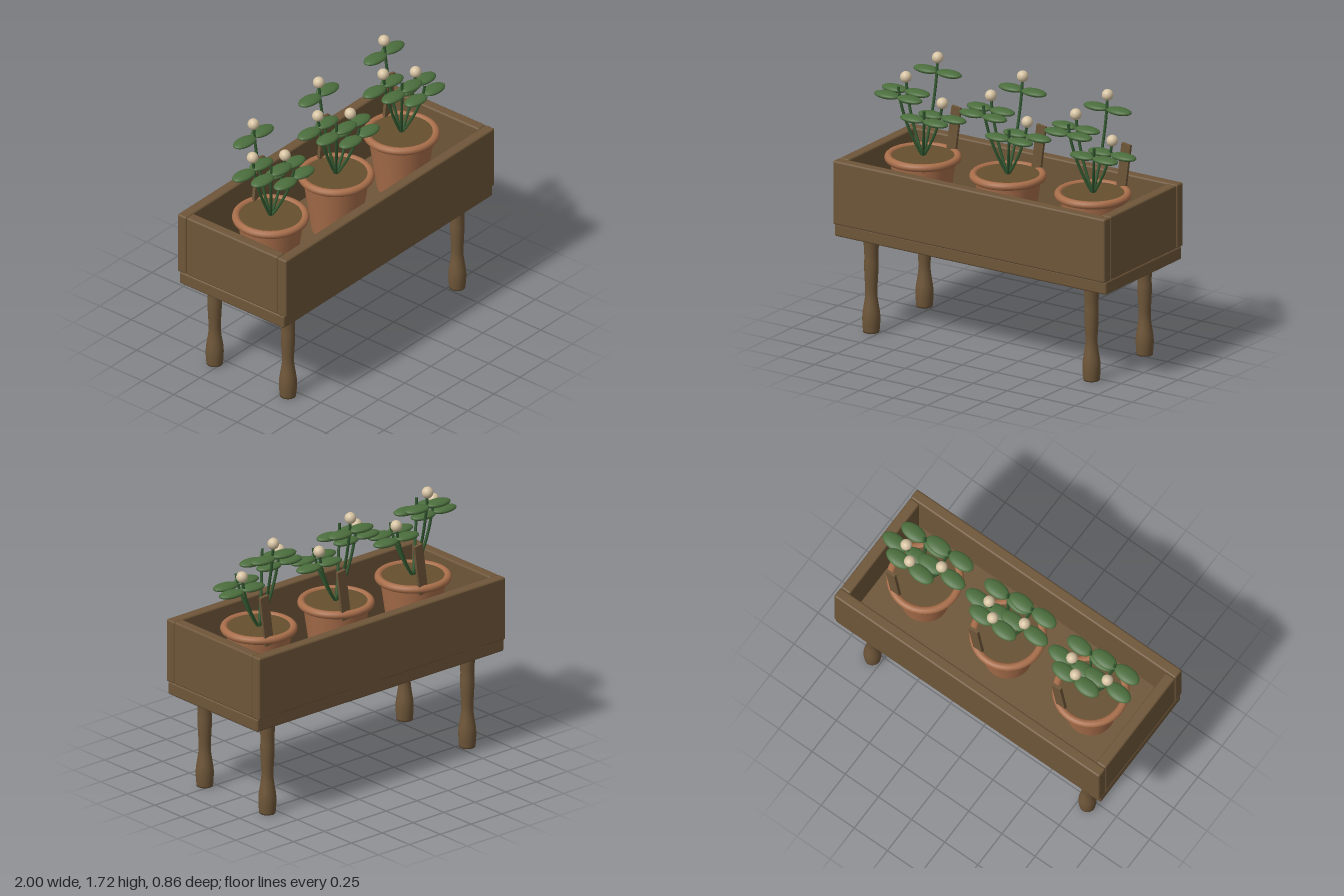
import * as THREE from 'three';
import { RoundedBoxGeometry } from 'three/addons/geometries/RoundedBoxGeometry.js';

const mat = (name, color) => {
  const m = new THREE.MeshStandardMaterial({ color });
  m.name = name;
  return m;
};

export function createModel() {
  const wood = mat('wood', 0x6e5639);
  const terracotta = mat('terracotta', 0xa86e4a);
  const soilMat = mat('soil', 0x66502f);
  const stemMat = mat('stem green', 0x31572f);
  const leafMat = mat('leaf green', 0x4b6e3d);
  const bloomMat = mat('cream blossom', 0xd6c3a2);

  const root = new THREE.Group();
  root.name = 'planterTable';
  const add = (parent, name, geo, material, x = 0, y = 0, z = 0) => {
    const mesh = new THREE.Mesh(geo, material);
    mesh.name = name;
    mesh.position.set(x, y, z);
    parent.add(mesh);
    return mesh;
  };

  // Trough: floor board, two long sides, two ends
  const board = (name, w, h, d, x, y, z) =>
    add(root, name, new RoundedBoxGeometry(w, h, d, 2, 0.012), wood, x, y, z);
  board('floorBoard', 2, 0.085, 0.83, 0, 0.657, 0);
  for (const s of [-1, 1]) {
    board(s > 0 ? 'frontBoard' : 'backBoard', 2, 0.41, 0.07, 0, 0.9, s * 0.396);
    board(s > 0 ? 'leftEndBoard' : 'rightEndBoard', 0.07, 0.41, 0.724, s * 0.963, 0.9, 0);
  }

  // Turned legs
  const legCurve = new THREE.SplineCurve([
    [0.05, 0], [0.055, 0.06], [0.054, 0.12], [0.042, 0.2], [0.037, 0.26],
    [0.042, 0.36], [0.044, 0.43], [0.043, 0.5], [0.051, 0.62],
  ].map(p => new THREE.Vector2(...p)));
  const legGeo = new THREE.LatheGeometry(
    [new THREE.Vector2(0, 0), ...legCurve.getPoints(28), new THREE.Vector2(0, 0.62)], 24);
  for (const x of [-0.81, 0.81])
    for (const z of [-0.29, 0.29]) add(root, 'leg', legGeo, wood, x, 0, z);

  // Shared pot and plant geometry
  const potGeo = new THREE.CylinderGeometry(0.205, 0.15, 0.38, 32);
  const rimGeo = new THREE.TorusGeometry(0.212, 0.025, 12, 40).rotateX(Math.PI / 2);
  const soilGeo = new THREE.CylinderGeometry(0.195, 0.195, 0.03, 32);
  const stakeGeo = new THREE.BoxGeometry(0.065, 0.33, 0.02);
  const leafGeo = new THREE.SphereGeometry(1, 20, 12).scale(0.09, 0.022, 0.052);
  const bloomGeo = new THREE.SphereGeometry(0.036, 20, 14);

  // Stem tips relative to the pot: x, y, z, has a blossom
  const stems = [
    [0.01, 1.68, -0.145, true],
    [-0.143, 1.56, -0.025, true],
    [0.14, 1.45, -0.003, true],
    [-0.115, 1.54, 0.1, false],
    [0.085, 1.425, 0.115, false],
  ];
  const leafHeights = [1.59, 1.472, 1.36, 1.47, 1.358];

  for (const px of [-0.625, 0, 0.625]) {
    const pot = new THREE.Group();
    pot.name = 'pottedPlant';
    pot.position.x = px;
    root.add(pot);
    add(pot, 'potBody', potGeo, terracotta, 0, 0.888, 0);
    add(pot, 'potRim', rimGeo, terracotta, 0, 1.078, 0);
    add(pot, 'soil', soilGeo, soilMat, 0, 1.077, 0);
    add(pot, 'markerStake', stakeGeo, wood, 0.102, 1.21, -0.185).rotation.z = -0.13;

    stems.forEach(([x, y, z, bloom], i) => {
      const curve = new THREE.QuadraticBezierCurve3(
        new THREE.Vector3(0, 1.08, 0),
        new THREE.Vector3(x * 0.85, 1.08 + (y - 1.08) * 0.5, z * 0.85),
        new THREE.Vector3(x, y, z));
      add(pot, 'stem', new THREE.TubeGeometry(curve, 16, 0.009, 8), stemMat);
      // Paired leaves just below the tip
      for (const s of [-1, 1])
        add(pot, 'leaf', leafGeo, leafMat, x + s * 0.084, leafHeights[i], z).rotation.y = -0.06;
      if (bloom) add(pot, 'blossom', bloomGeo, bloomMat, x, y, z);
    });
  }
  return root;
}
